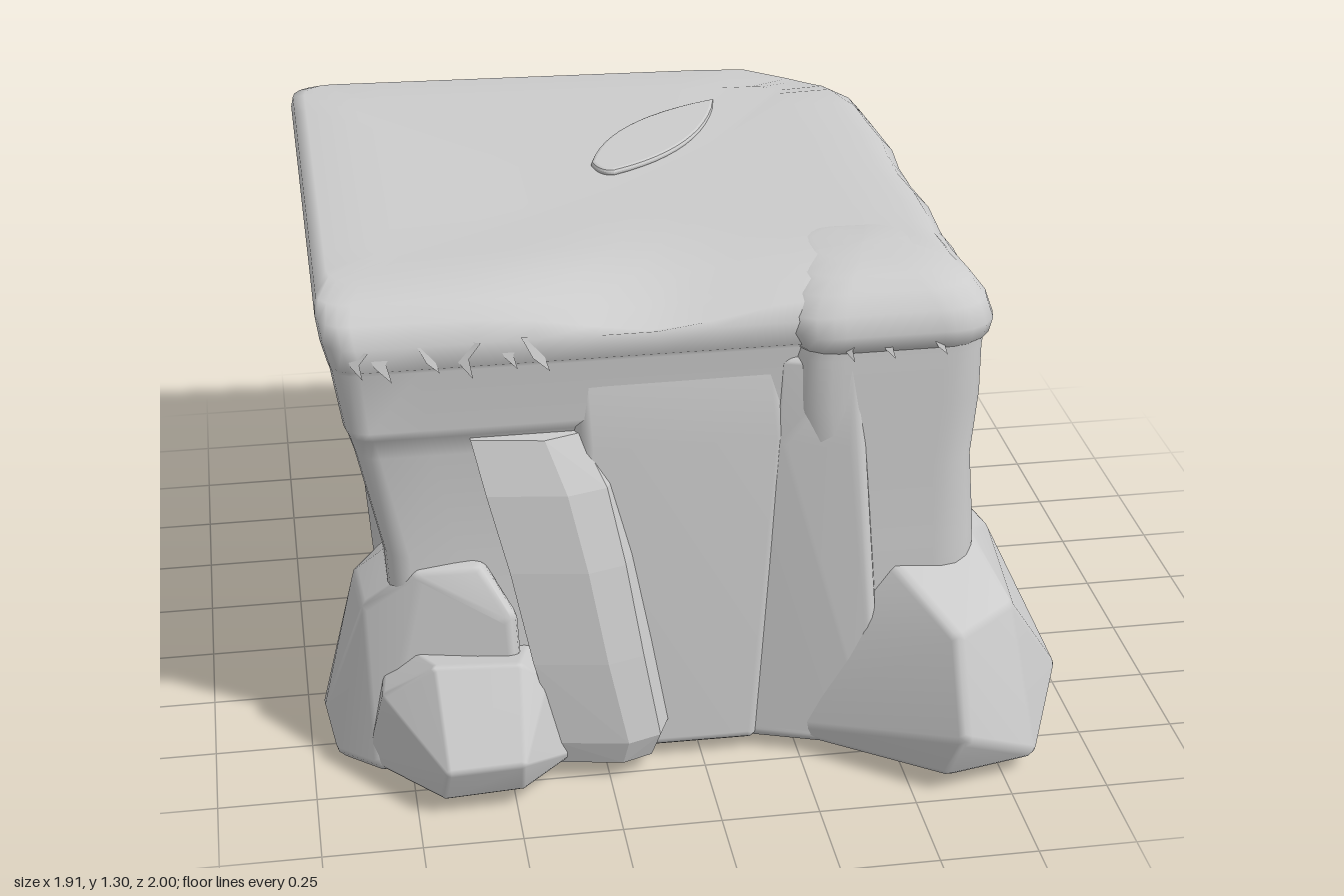
import * as THREE from 'three';
import { mergeVertices } from 'three/addons/utils/BufferGeometryUtils.js';
import { ConvexGeometry } from 'three/addons/geometries/ConvexGeometry.js';

const stone = new THREE.MeshStandardMaterial({ color: 0xcccccc });
stone.name = 'pale stone';
const stoneThin = new THREE.MeshStandardMaterial({ color: 0xcccccc, side: THREE.DoubleSide });
stoneThin.name = 'pale stone';

function add(group, name, geometry, material = stone) {
  const mesh = new THREE.Mesh(geometry, material);
  mesh.name = name;
  group.add(mesh);
  return mesh;
}

// Boulder: convex hull of a few corners, rounded inwards by a radius r
function boulder(corners, r = 0.04) {
  const ball = mergeVertices(new THREE.IcosahedronGeometry(r, 1).deleteAttribute('normal').deleteAttribute('uv'));
  const b = ball.attributes.position;
  const cloud = [];
  const mid = new THREE.Box3().setFromPoints(corners.map(c => new THREE.Vector3(...c))).getCenter(new THREE.Vector3());
  for (const c of corners) {
    const p = new THREE.Vector3(...c);
    const inward = mid.clone().sub(p).normalize().multiplyScalar(1.9).clampScalar(-1, 1);
    p.addScaledVector(inward, r);
    for (let i = 0; i < b.count; i++) cloud.push(new THREE.Vector3().fromBufferAttribute(b, i).add(p));
  }
  let g = new ConvexGeometry(cloud);
  g.deleteAttribute('normal');
  g = mergeVertices(g, 1e-4);
  g.computeVertexNormals();
  return g;
}

// Rounded rectangle ring, running from +x towards +z
function ring([y, xl, xr, zf, zb, r]) {
  const centres = [[xr - r, zf - r], [xl + r, zf - r], [xl + r, zb + r], [xr - r, zb + r]];
  const pts = [];
  centres.forEach(([cx, cz], k) => {
    for (let s = 0; s <= 4; s++) {
      const a = (k + s / 4) * Math.PI / 2;
      pts.push([cx + r * Math.cos(a), cz + r * Math.sin(a)]);
    }
    const end = pts[pts.length - 1], [nx, nz] = centres[(k + 1) % 4];
    const a = (k + 1) * Math.PI / 2;
    const tx = nx + r * Math.cos(a), tz = nz + r * Math.sin(a);
    for (let s = 1; s < 10; s++) pts.push([end[0] + (tx - end[0]) * s / 10, end[1] + (tz - end[1]) * s / 10]);
  });
  const step = THREE.MathUtils.smoothstep;
  return pts.map(([x, z]) => {
    // skewed back edge, uneven lip, sagging front, worn back corner, foot dropping forwards
    const skew = 0.07 * Math.max(0, -z) * (x + 0.93) / 1.65;
    const lip = y > 1.1 ? 0.012 * Math.sin(z * 13) * Math.max(0, x) : 0;
    const sag = y > 1.2 ? 0.06 * Math.exp(-(((x + 0.1) / 0.25) ** 2)) * step(z, 0.3, 0.6) : 0;
    const worn = step(y, 1.14, 1.28) * 0.07 * step(x - z, 1.3, 1.65);
    const drop = y < 0.1 ? 0.02 * step(z, -0.3, 0.5) : 0;
    return [x + lip, y - sag - worn - drop, z + skew];
  });
}

function loft(levels) {
  const rings = levels.map(ring);
  const n = rings[0].length, index = [];
  for (let i = 0; i < rings.length - 1; i++) {
    for (let j = 0; j < n; j++) {
      const a = i * n + j, b = i * n + (j + 1) % n, c = a + n, d = b + n;
      index.push(a, c, b, b, c, d);
    }
  }
  const g = new THREE.BufferGeometry();
  g.setAttribute('position', new THREE.Float32BufferAttribute(rings.flat(2), 3));
  g.setIndex(index);
  g.computeVertexNormals();
  return g;
}

export function createModel() {
  const group = new THREE.Group();

  // Main block: recessed walls below, overhanging turf above
  add(group, 'cliffBlock', loft([
    [0.04, -0.1, -0.1, -0.1, -0.1, 0],
    [0.04, -0.4, 0.2, 0.2, -0.5, 0.04],
    [0.04, -0.76, 0.61, 0.63, -0.86, 0.05],
    [0.06, -0.78, 0.63, 0.66, -0.89, 0.06],
    [0.3, -0.775, 0.6, 0.63, -0.885, 0.06],
    [0.6, -0.79, 0.59, 0.605, -0.90, 0.06],
    [0.88, -0.85, 0.59, 0.60, -0.94, 0.06],
    [0.94, -0.865, 0.62, 0.62, -0.95, 0.06],
    [0.97, -0.875, 0.67, 0.64, -0.955, 0.06],
    [1.12, -0.90, 0.68, 0.625, -0.975, 0.07],
    [1.14, -0.905, 0.70, 0.65, -0.98, 0.08],
    [1.2, -0.92, 0.705, 0.65, -0.99, 0.08],
    [1.25, -0.928, 0.69, 0.62, -1.0, 0.08],
    [1.28, -0.922, 0.66, 0.56, -0.995, 0.08],
    [1.297, -0.89, 0.6, 0.46, -0.96, 0.08],
    [1.295, -0.75, 0.45, 0.32, -0.8, 0.07],
    [1.285, -0.4, 0.2, 0.1, -0.4, 0.05],
    [1.28, -0.1, -0.1, -0.1, -0.1, 0],
  ]));

  // Rounded turf lump on the front left corner
  add(group, 'cornerTurf', loft([
    [1.10, 0.26, 0.70, 0.66, 0.24, 0.08],
    [1.13, 0.23, 0.725, 0.69, 0.21, 0.1],
    [1.17, 0.21, 0.735, 0.70, 0.20, 0.11],
    [1.22, 0.21, 0.72, 0.68, 0.20, 0.11],
    [1.26, 0.23, 0.69, 0.64, 0.22, 0.11],
    [1.285, 0.27, 0.64, 0.59, 0.25, 0.1],
    [1.298, 0.33, 0.57, 0.52, 0.31, 0.08],
    [1.302, 0.45, 0.45, 0.42, 0.42, 0],
  ]));

  // Corner pier, waisted at mid height
  add(group, 'cornerColumn', loft([
    [0.05, 0.3, 0.71, 0.72, 0.18, 0.1],
    [0.35, 0.28, 0.715, 0.72, 0.19, 0.1],
    [0.6, 0.27, 0.715, 0.705, 0.22, 0.1],
    [0.8, 0.25, 0.70, 0.69, 0.24, 0.09],
    [0.97, 0.23, 0.715, 0.69, 0.22, 0.09],
    [1.1, 0.24, 0.715, 0.68, 0.2, 0.08],
    [1.16, 0.26, 0.715, 0.68, 0.22, 0.08],
  ]));
  // Flare of the pier towards the front wall
  add(group, 'columnFlare', boulder([
    [0.13, 0.03, 0.67], [0.2, 0.5, 0.64], [0.2, 0.9, 0.64], [0.22, 1.1, 0.61], [0.38, 1.1, 0.66],
    [0.38, 0.9, 0.69], [0.45, 0.03, 0.78], [0.4, 0.5, 0.71],
    [0.13, 0.03, 0.4], [0.45, 0.03, 0.4], [0.4, 1.1, 0.4], [0.2, 1.1, 0.4],
  ], 0.03));
  // Wall panel running up flush into the lintel
  add(group, 'frontPanel', boulder([
    [-0.35, 0.03, 0.68], [0.14, 0.03, 0.685], [0.2, 0.5, 0.655], [0.22, 0.92, 0.64], [0.2, 1.1, 0.605],
    [-0.3, 1.1, 0.605], [-0.3, 0.92, 0.64], [-0.35, 0.03, 0.4], [0.16, 0.03, 0.4], [-0.2, 1.1, 0.4], [0.16, 1.1, 0.4],
  ], 0.03));

  // Leaning buttress: stacked slices following a curve
  const lean = [[0.05, -0.38, -0.11, 0.78], [0.12, -0.38, -0.09, 0.8], [0.35, -0.44, -0.13, 0.785],
    [0.6, -0.49, -0.17, 0.755], [0.8, -0.54, -0.21, 0.715], [0.93, -0.57, -0.27, 0.66]];
  for (let i = 0; i < lean.length - 1; i++) {
    const pts = [];
    for (const [y, l, r, z] of [lean[i], lean[i + 1]]) {
      const m = l + (r - l) * 0.6;
      pts.push([l, y, z - 0.03], [m, y, z], [r - 0.03, y, z - 0.03], [r, y, z - 0.1], [l, y, 0.5], [r, y, 0.5]);
    }
    add(group, 'leaningButtress', new ConvexGeometry(pts.map(p => new THREE.Vector3(...p))));
  }

  // Pillar on the side wall
  add(group, 'sidePillar', boulder([
    [0.72, 0.04, -0.07], [0.65, 0.92, -0.15], [0.63, 0.92, -0.5], [0.72, 0.04, -0.55],
    [0.78, 0.14, -0.13], [0.87, 0.16, -0.4], [0.87, 0.42, -0.45], [0.75, 0.62, -0.3], [0.79, 0.45, -0.16],
    [0.45, 0.04, -0.07], [0.45, 0.92, -0.15], [0.45, 0.92, -0.5], [0.45, 0.04, -0.55],
  ], 0.04));
  // Back pier, merging into the lintel and the back wall
  add(group, 'backColumn', loft([
    [0.05, 0.3, 0.72, -0.46, -0.90, 0.08],
    [0.4, 0.3, 0.71, -0.46, -0.90, 0.08],
    [0.62, 0.3, 0.665, -0.46, -0.905, 0.08],
    [0.8, 0.3, 0.64, -0.47, -0.93, 0.07],
    [0.95, 0.3, 0.65, -0.47, -0.945, 0.06],
    [1.1, 0.3, 0.65, -0.47, -0.95, 0.06],
  ]));
  add(group, 'backCornerRock', boulder([
    [0.84, 0.05, -0.4], [0.9, 0.18, -0.47], [0.89, 0.45, -0.48], [0.81, 0.06, -0.86], [0.82, 0.42, -0.86],
    [0.7, 0.62, -0.84], [0.72, 0.63, -0.55], [0.25, 0.04, -0.9], [0.38, 0.42, -0.91], [0.52, 0.6, -0.895],
    [0.7, 0.04, -0.92], [0.72, 0.44, -0.935], [0.45, 0.04, -0.4],
  ], 0.05));

  // Boulders around the feet
  add(group, 'frontRightBoulder', boulder([
    [0.18, 0.03, 0.66], [0.6, 0.04, 0.97], [0.63, 0.15, 1.0], [0.84, 0.04, 0.92], [0.91, 0.03, 0.6],
    [0.955, 0.12, 0.64], [0.955, 0.13, 0.42], [0.74, 0.03, 0.14], [0.73, 0.53, 0.2], [0.83, 0.45, 0.35],
    [0.46, 0.55, 0.68], [0.73, 0.56, 0.6], [0.79, 0.45, 0.82], [0.62, 0.43, 0.92], [0.36, 0.37, 0.74],
    [0.73, 0.55, 0.28], [0.35, 0.02, 0.3],
  ], 0.035));
  add(group, 'frontLeftBoulder', boulder([
    [-0.94, 0.0, 0.58], [-0.96, 0.02, 0.36], [-0.96, 0.08, 0.5], [-0.84, 0.01, 0.68], [-0.45, 0.02, 0.72],
    [-0.87, 0.46, 0.36], [-0.86, 0.46, 0.58], [-0.72, 0.57, 0.42], [-0.7, 0.57, 0.63], [-0.54, 0.58, 0.65],
    [-0.47, 0.47, 0.7], [-0.78, 0.02, 0.13], [-0.78, 0.46, 0.22], [-0.45, 0.02, 0.3],
  ], 0.035));
  add(group, 'smallBoulder', boulder([
    [-0.86, 0.02, 0.62], [-0.69, 0.04, 0.87], [-0.47, 0.05, 0.87], [-0.68, 0.13, 0.9], [-0.47, 0.14, 0.9],
    [-0.34, 0.06, 0.74], [-0.4, 0.3, 0.74], [-0.46, 0.36, 0.76], [-0.7, 0.36, 0.74], [-0.82, 0.26, 0.68],
    [-0.8, 0.32, 0.5], [-0.4, 0.3, 0.5],
  ], 0.02));

  // Ragged grass shards hanging from the lip
  const shard = (x, y, z, size, turn) => {
    const s = new THREE.Shape([[-0.5, 0.5], [0.5, 0.4], [0.15, -0.1], [0.3, -0.7], [-0.2, -0.2]]
      .map(([a, b]) => new THREE.Vector2(a * size, b * size)));
    const m = add(group, 'grassShard', new THREE.ShapeGeometry(s), stoneThin);
    m.position.set(x, y, z);
    m.rotation.set(-0.25, turn, 0, 'YXZ');
  };
  [-0.84, -0.78, -0.66, -0.58, -0.47, -0.4].forEach((x, i) => shard(x, 1.17, 0.65, 0.06 + 0.02 * (i % 2), 0.3 * (i % 3 - 1)));
  [0.36, 0.46, 0.59].forEach((x, i) => shard(x, 1.14, 0.69, 0.05, 0.3 * (i - 1)));
  [0.4, -0.37, -0.45, -0.6, -0.66, -0.72].forEach((z, i) => shard(0.705, 1.16, z, 0.06 + 0.02 * (i % 2), Math.PI / 2 + 0.3 * (i % 3 - 1)));

  // Crescent mound on the turf
  const leaf = new THREE.Shape();
  leaf.moveTo(0.25, 0.66);
  leaf.quadraticCurveTo(-0.06, 0.54, -0.14, 0.24);
  leaf.quadraticCurveTo(-0.13, 0.18, -0.1, 0.18);
  leaf.quadraticCurveTo(0.16, 0.3, 0.25, 0.66);
  const mound = add(group, 'turfCrescent', new THREE.ExtrudeGeometry(leaf, {
    depth: 0.004, bevelEnabled: true, bevelThickness: 0.008, bevelSize: 0.01, bevelSegments: 2, curveSegments: 12,
  }));
  mound.rotation.x = -Math.PI / 2;
  mound.position.y = 1.286;

  return group;
}
